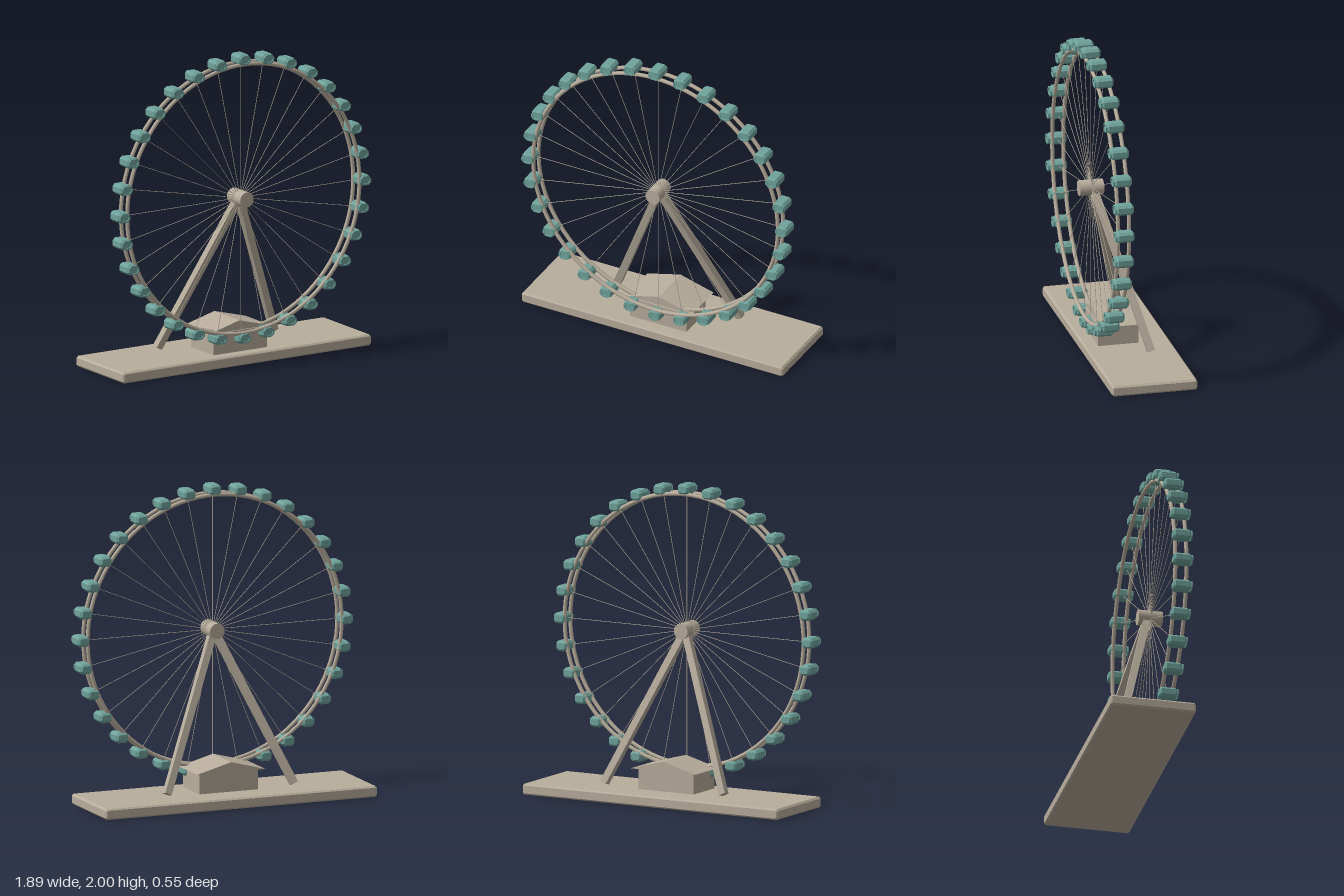
import * as THREE from 'three';

const stone = new THREE.MeshStandardMaterial({ color: 0xb8ad9c });
stone.name = 'warm stone';
const teal = new THREE.MeshStandardMaterial({ color: 0x6fa39b });
teal.name = 'muted teal';

const HUB_Y = 1.065, WHEEL_Z = 0.19, COUNT = 32;

function add(parent, name, geometry, material, x = 0, y = 0, z = 0) {
  const mesh = new THREE.Mesh(geometry, material);
  mesh.name = name;
  mesh.position.set(x, y, z);
  parent.add(mesh);
  return mesh;
}

// Octagonal outline: a w x h rectangle with corners cut by c
function cutRect(w, h, c, Type = THREE.Shape) {
  const a = w / 2, b = h / 2;
  const half = [[a, c - b], [a, b - c], [a - c, b], [c - a, b]];
  const pts = [...half, ...half.map(([x, y]) => [-x, -y])];
  return new Type(pts.map(([x, y]) => new THREE.Vector2(x, y)));
}

// Box with all edges chamfered, centred on the origin
function chamferBox(w, h, d, c) {
  const geo = new THREE.ExtrudeGeometry(cutRect(w - 2 * c, h - 2 * c, c * 0.6), {
    depth: d - 2 * c, bevelEnabled: true, bevelSize: c, bevelThickness: c, bevelSegments: 1,
  });
  return geo.translate(0, 0, c - d / 2);
}

export function createModel() {
  const model = new THREE.Group();
  model.name = 'observationWheel';

  // Base slab
  add(model, 'base', chamferBox(1.86, 0.07, 0.55, 0.01), stone, 0, 0.035, 0);

  // Boarding house with gabled roof
  add(model, 'houseWalls', new THREE.BoxGeometry(0.4, 0.14, 0.26), stone, 0, 0.137, 0.06);
  const gable = new THREE.Shape([[-0.235, 0], [0.235, 0], [0, 0.063]].map((p) => new THREE.Vector2(...p)));
  add(model, 'houseRoof', new THREE.ExtrudeGeometry(gable, { depth: 0.29, bevelEnabled: false }),
    stone, 0, 0.205, -0.11);

  // Two raking support legs, leaning back from the hub
  for (const side of [-1, 1]) {
    const top = new THREE.Vector3(0, HUB_Y, 0.175);
    const foot = new THREE.Vector3(side * 0.434, 0.095, -0.095);
    const dir = top.clone().sub(foot);
    const leg = add(model, side > 0 ? 'leftLeg' : 'rightLeg',
      new THREE.BoxGeometry(0.046, dir.length(), 0.046), stone);
    leg.position.copy(top).add(foot).multiplyScalar(0.5);
    leg.quaternion.setFromUnitVectors(new THREE.Vector3(0, 1, 0), dir.normalize());
  }

  // Wheel: hub, twin rims, spokes
  const wheel = new THREE.Group();
  wheel.name = 'wheel';
  wheel.position.set(0, HUB_Y, WHEEL_Z);
  model.add(wheel);
  add(wheel, 'hub', new THREE.CylinderGeometry(0.05, 0.05, 0.155, 24).rotateX(Math.PI / 2), stone);
  for (const z of [-0.036, 0.036]) {
    add(wheel, z > 0 ? 'frontRim' : 'backRim', new THREE.TorusGeometry(0.87, 0.013, 8, 96), stone, 0, 0, z);
  }
  const spokeGeo = new THREE.CylinderGeometry(0.002, 0.002, 0.83, 6).translate(0, 0.455, 0);

  // Upright cabins with a window surround on the front
  const cabinGeo = chamferBox(0.082, 0.066, 0.115, 0.013);
  const surround = cutRect(0.076, 0.058, 0.018);
  surround.holes.push(cutRect(0.056, 0.038, 0.012, THREE.Path));
  const surroundGeo = new THREE.ExtrudeGeometry(surround, { depth: 0.009, bevelEnabled: false });

  for (let i = 0; i < COUNT; i++) {
    const a = (i / COUNT) * Math.PI * 2;
    add(wheel, 'spoke', spokeGeo, stone).rotation.z = a;
    const cabin = new THREE.Group();
    cabin.name = 'cabin';
    cabin.position.set(-Math.sin(a) * 0.902, Math.cos(a) * 0.902, 0);
    add(cabin, 'cabinBody', cabinGeo, teal);
    add(cabin, 'windowSurround', surroundGeo, teal, 0, 0, 0.056);
    wheel.add(cabin);
  }
  return model;
}
